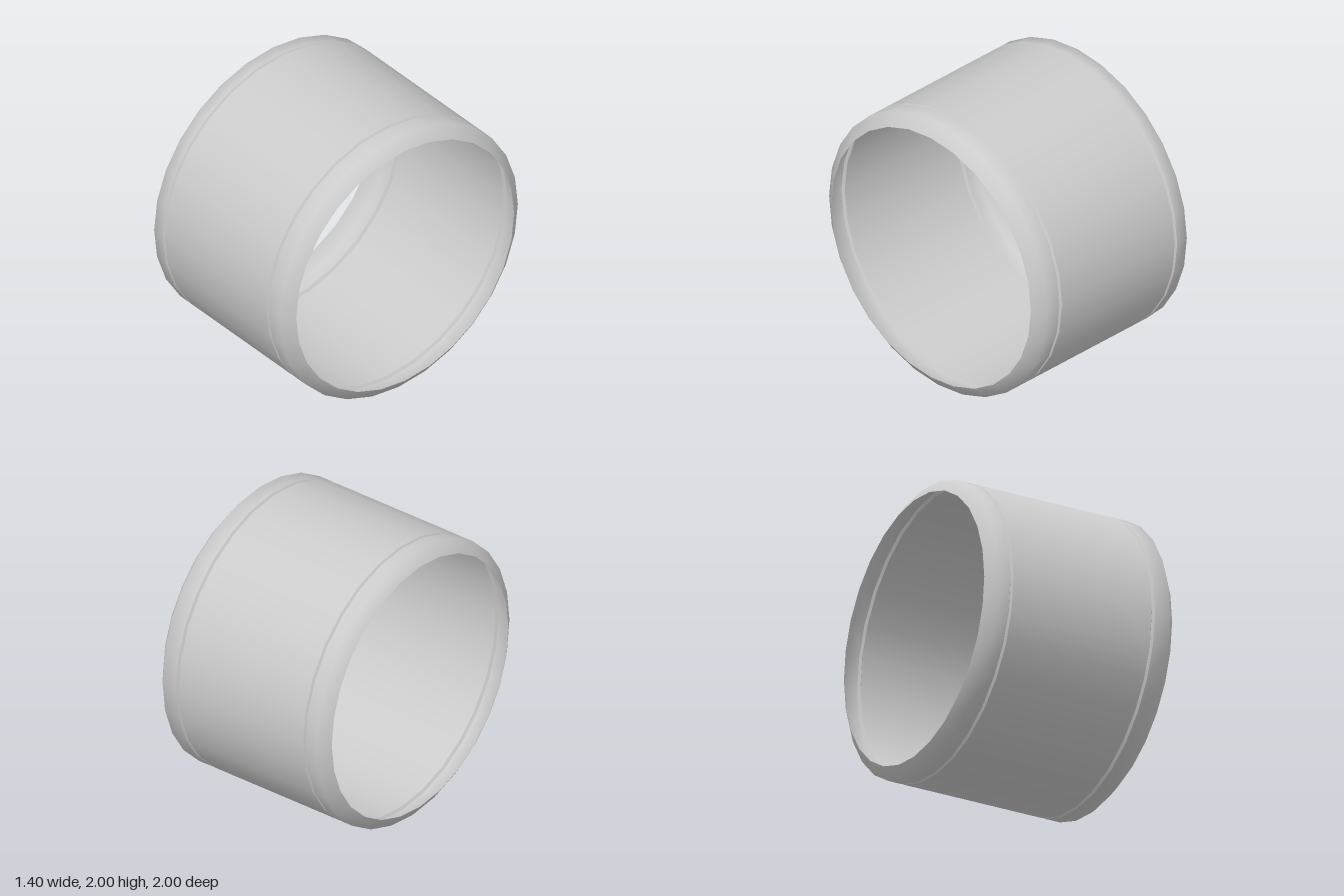
import * as THREE from 'three';

const SIDES = 28;

export function createModel() {
  const group = new THREE.Group();
  group.name = 'openSleeve';
  const material = new THREE.MeshStandardMaterial({ color: 0xcccccc, side: THREE.DoubleSide });

  // Thin shell of revolution around the x axis; profile points are [x, radius], ordered by rising x
  const addRing = (name, profile) => {
    const points = profile.map(([x, r]) => new THREE.Vector2(r, x));
    const geometry = new THREE.LatheGeometry(points, SIDES);
    geometry.rotateZ(-Math.PI / 2);
    const mesh = new THREE.Mesh(geometry, material);
    mesh.name = name;
    mesh.position.y = 1;
    group.add(mesh);
  };

  // Straight wall
  addRing('sleeveWall', [[-0.53, 1], [0.5, 1]]);

  // Shallow V grooves between wall and rims, each flank kept sharp
  for (const [name, x] of [['rightGroove', -0.54], ['leftGroove', 0.512]]) {
    addRing(name + 'InnerFlank', [[x - 0.012, 1], [x, 0.98]]);
    addRing(name + 'OuterFlank', [[x, 0.98], [x + 0.012, 1]]);
  }

  // Rims turning inward to the open ends
  addRing('rightRim', [[-0.7, 0.915], [-0.64, 1], [-0.552, 1]]);
  addRing('leftRim', [[0.524, 1], [0.635, 1], [0.7, 0.915]]);

  return group;
}
